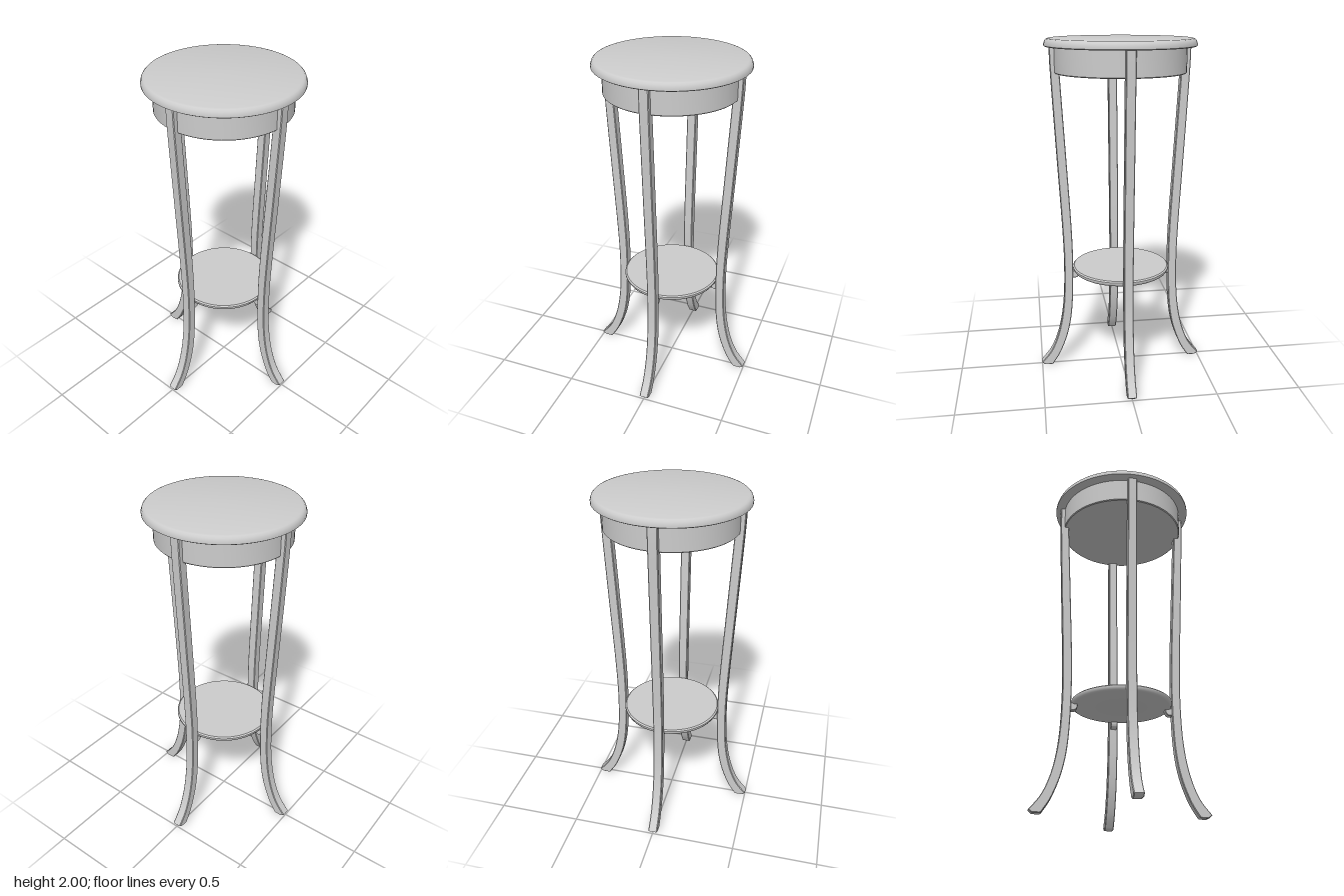
import * as THREE from 'three';
import { toCreasedNormals } from 'three/addons/utils/BufferGeometryUtils.js';

export function createModel() {
  const group = new THREE.Group();
  const grey = new THREE.MeshStandardMaterial({ color: 0xcccccc });
  grey.name = 'palePaint';

  const add = (name, geometry, parent = group) => {
    const mesh = new THREE.Mesh(toCreasedNormals(geometry, 0.6), grey);
    mesh.name = name;
    parent.add(mesh);
    return mesh;
  };
  const turned = (points) =>
    new THREE.LatheGeometry(points.map(([r, y]) => new THREE.Vector2(r, y)), 64);

  // Round top with a softened upper edge
  add('tableTop', turned([[0, 1.955], [0.422, 1.955], [0.43, 1.96], [0.43, 1.972],
    [0.424, 1.988], [0.415, 1.997], [0.405, 2], [0, 2]]));

  // Drum-shaped apron under the top
  add('apron', turned([[0, 1.81], [0.37, 1.81], [0.375, 1.815], [0.375, 1.956], [0, 1.956]]));

  // Lower shelf
  add('shelf', turned([[0, 0.617], [0.277, 0.617], [0.285, 0.622], [0.292, 0.634],
    [0.292, 0.643], [0.284, 0.65], [0, 0.65]]));

  // Extrude a side profile (outward, up), centred across its thickness
  const plate = (shape, width, bevel) => new THREE.ExtrudeGeometry(shape, {
    depth: width - 2 * bevel, bevelEnabled: true, bevelSize: bevel, bevelThickness: bevel,
    bevelOffset: -bevel, bevelSegments: 1, curveSegments: 8,
  }).translate(0, 0, bevel - width / 2);

  // Sabre leg profile: smooth outer and inner edges
  const curve = (points) => new THREE.SplineCurve(points.map(([x, y]) => new THREE.Vector2(x, y)));
  const outer = curve([[0.401, 1.956], [0.397, 1.8], [0.375, 1.35], [0.352, 0.9], [0.346, 0.65],
    [0.355, 0.42], [0.385, 0.24], [0.435, 0.105], [0.502, 0.017]]).getPoints(40);
  const inner = curve([[0.432, 0.004], [0.38, 0.09], [0.33, 0.23], [0.303, 0.4], [0.294, 0.65],
    [0.298, 0.9], [0.321, 1.35], [0.345, 1.8], [0.35, 1.956]]).getPoints(40);
  const legShape = new THREE.Shape([...outer, new THREE.Vector2(0.488, 0.004),
    new THREE.Vector2(0.48, 0), new THREE.Vector2(0.44, 0), ...inner]);

  // Rounded bracket holding the shelf to the leg
  const bracketShape = new THREE.Shape();
  bracketShape.moveTo(0.3, 0.625);
  bracketShape.lineTo(0.256, 0.625);
  bracketShape.lineTo(0.256, 0.605);
  bracketShape.quadraticCurveTo(0.26, 0.58, 0.285, 0.58);
  bracketShape.lineTo(0.3, 0.58);
  bracketShape.closePath();

  const names = ['left', 'back', 'right', 'front'];
  names.forEach((side, i) => {
    const assembly = new THREE.Group();
    assembly.name = side + 'LegAssembly';
    assembly.rotation.y = i * Math.PI / 2;
    add(side + 'Leg', plate(legShape, 0.054, 0.004), assembly);
    add(side + 'Bracket', plate(bracketShape, 0.04, 0.003), assembly);
    group.add(assembly);
  });

  return group;
}
